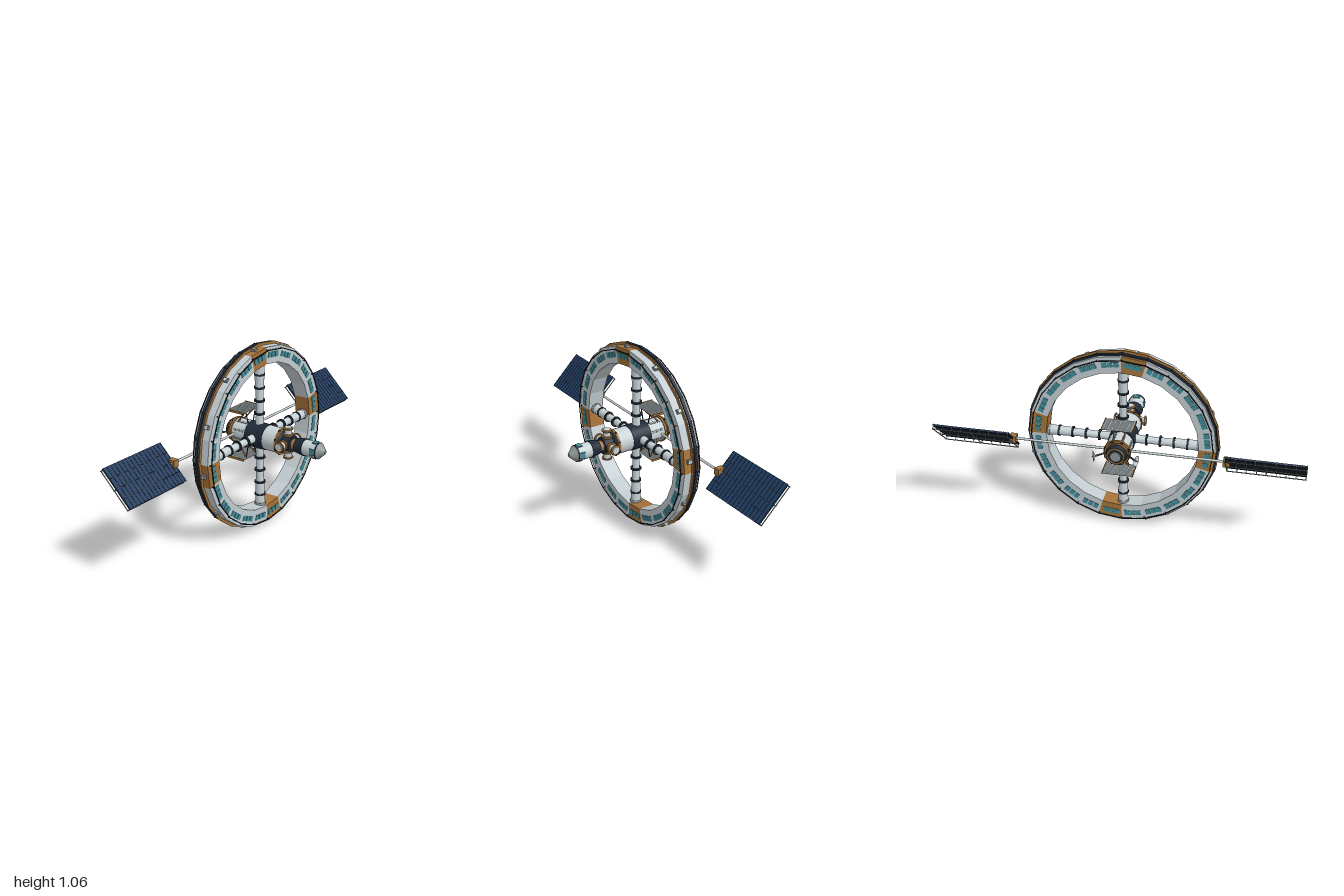
import * as THREE from 'three';

const mat = (color, flatShading = false) => new THREE.MeshStandardMaterial({ color, flatShading });
const C = {
  white: mat(0xc8d2d5), navy: mat(0x1f2a38), orange: mat(0xa6733a), teal: mat(0x3f8c99),
  dark: mat(0x171d23), panel: mat(0x1f3b60), grey: mat(0x8d9598),
  hull: mat(0xc2ccd0, true), hullOrange: mat(0xa6733a, true), hullNavy: mat(0x1f2a38, true), hullDark: mat(0x171d23, true)
};
const SEG = 24, STEP = Math.PI * 2 / SEG, RING = -0.0975;
const V = (x, y, z) => new THREE.Vector3(x, y, z);

function add(parent, name, geo, material, x = 0, y = 0, z = 0) {
  const m = new THREE.Mesh(geo, material);
  m.name = name;
  m.position.set(x, y, z);
  parent.add(m);
  return m;
}
const box = (p, name, m, w, h, d, x, y, z) => add(p, name, new THREE.BoxGeometry(w, h, d), m, x, y, z);

// Cylinder between two points, r0 at a and r1 at b
function rod(p, name, m, a, b, r0, r1 = r0, sides = 8) {
  const d = b.clone().sub(a);
  const mesh = add(p, name, new THREE.CylinderGeometry(r1, r0, d.length(), sides), m);
  mesh.position.copy(a).addScaledVector(d, 0.5);
  mesh.quaternion.setFromUnitVectors(V(0, 1, 0), d.normalize());
  return mesh;
}
function group(parent, name) {
  const g = new THREE.Group();
  g.name = name;
  parent.add(g);
  return g;
}
// Faceted band about the local y axis with a rectangular section
function band(p, name, m, y0, y1, r0, r1, start = 0, count = SEG) {
  const pts = [[r0, y0], [r1, y0], [r1, y1], [r0, y1], [r0, y0]].map(q => new THREE.Vector2(...q));
  return add(p, name, new THREE.LatheGeometry(pts, count, start * STEP, count * STEP), m);
}
// Child group turned about the local y axis, so its +z points outwards
function radial(p, name, angle) {
  const g = group(p, name);
  g.rotation.y = angle;
  return g;
}

function buildRing(axis) {
  const ring = group(axis, 'habitatRing');
  for (let k = 0; k < SEG; k++) {
    band(ring, 'ringSegment', k % 6 ? C.hull : C.hullOrange, -0.145, -0.05, 0.42, 0.515, k, 1);
    const seg = radial(ring, 'segmentDetails', (k + 0.5) * STEP);
    for (const y of [-0.146, -0.049])
      for (const x of [-0.032, 0, 0.032]) box(seg, 'window', C.teal, 0.027, 0.004, 0.03, x, y, 0.466);
    // Hatch boxes sit on every other outer facet
    if (k % 2 === 0) {
      box(seg, 'hatchBase', C.grey, 0.024, 0.027, 0.014, 0, -0.081, 0.515);
      box(seg, 'hatchLid', C.white, 0.016, 0.018, 0.004, 0, -0.081, 0.523);
    }
    // Brackets holding the guard rails
    const rib = radial(ring, 'railBracket', k * STEP);
    box(rib, 'bracketBack', C.dark, 0.004, 0.022, 0.004, 0, -0.151, 0.499);
    box(rib, 'bracketFront', C.dark, 0.004, 0.022, 0.004, 0, -0.044, 0.499);
    box(rib, 'bandClip', C.dark, 0.008, 0.022, 0.006, 0, -0.122, 0.522);
  }
  band(ring, 'darkBand', C.hullNavy, -0.132, -0.115, 0.505, 0.524);
  band(ring, 'orangeRail', C.hullOrange, -0.101, -0.095, 0.51, 0.53);
  band(ring, 'guardRailBack', C.hullDark, -0.162, -0.158, 0.497, 0.502);
  band(ring, 'guardRailFront', C.hullDark, -0.037, -0.033, 0.497, 0.502);
}

function buildSpokes(axis) {
  for (let k = 0; k < 4; k++) {
    const s = radial(axis, 'spoke', k * Math.PI / 2);
    const at = r => V(0, RING, r);
    rod(s, 'spokeRoot', C.white, at(0.05), at(0.13), 0.026, 0.021, 16);
    rod(s, 'spokeInner', C.white, at(0.13), at(0.28), 0.02, 0.022, 16);
    rod(s, 'spokeOuter', C.white, at(0.28), at(0.43), 0.025, 0.029, 16);
    for (const r of [0.13, 0.205, 0.28, 0.355])
      rod(s, 'spokeCollar', C.navy, at(r - 0.005), at(r + 0.005), 0.031, 0.031, 16);
    rod(s, 'spokeFoot', C.grey, at(0.405), at(0.425), 0.03, 0.034, 16);
  }
}

function buildHub(axis) {
  const hub = group(axis, 'hub');
  // name, material, start, end, start radius, end radius
  [
    ['dockingCollar', 'navy', -0.295, -0.25, 0.052, 0.064],
    ['rearRing', 'orange', -0.257, -0.245, 0.074, 0.074],
    ['rearModule', 'white', -0.245, -0.155, 0.068, 0.068],
    ['spokeHub', 'navy', -0.155, -0.036, 0.073, 0.073],
    ['frontModule', 'white', -0.036, 0.052, 0.07, 0.07],
    ['frontRing', 'orange', 0.05, 0.063, 0.075, 0.075],
    ['nodeCone', 'navy', 0.063, 0.075, 0.066, 0.048],
    ['node', 'navy', 0.075, 0.13, 0.046, 0.046],
    ['neck', 'orange', 0.13, 0.157, 0.03, 0.03],
    ['capsuleSleeve', 'navy', 0.155, 0.21, 0.04, 0.049],
    ['capsule', 'white', 0.2, 0.298, 0.044, 0.044],
    ['capsuleBand', 'navy', 0.292, 0.3, 0.046, 0.046],
    ['noseCone', 'grey', 0.3, 0.338, 0.045, 0.01]
  ].forEach(([n, c, a, b, r0, r1]) => rod(hub, n, C[c], V(0, a, 0), V(0, b, 0), r0, r1, 24));
  for (const [y, r] of [[-0.27, 0.064], [-0.295, 0.045]]) {
    const t = add(hub, 'dockRing', new THREE.TorusGeometry(r, 0.005, 8, 24), C.orange, 0, y, 0);
    t.rotation.x = Math.PI / 2;
  }
  rod(hub, 'dockHatch', C.grey, V(0, -0.3, 0), V(0, -0.29, 0), 0.028, 0.028, 16);

  for (let k = 0; k < 4; k++) {
    // Docking ports
    const p = radial(hub, 'dockingPort', k * Math.PI / 2);
    const at = r => V(0, 0.095, r);
    rod(p, 'portTube', C.white, at(0.03), at(0.085), 0.021, 0.021, 16);
    rod(p, 'portBase', C.orange, at(0.044), at(0.054), 0.029, 0.029, 16);
    rod(p, 'portFlange', C.orange, at(0.08), at(0.087), 0.029, 0.029, 16);
    rod(p, 'portCap', C.white, at(0.087), at(0.092), 0.02, 0.02, 16);
    // Capsule windows
    box(p, 'capsuleWindow', C.teal, 0.036, 0.026, 0.006, 0, 0.275, 0.043);
  }
  // Vents and edge latches around the modules
  for (let k = 0; k < 8; k++) {
    const v = radial(hub, 'moduleDetails', (k + 0.5) * Math.PI / 4);
    for (let i = 0; i < 3; i++) box(v, 'vent', C.grey, 0.014, 0.018, 0.004, 0, -0.225 + i * 0.025, 0.068);
    box(v, 'latch', C.dark, 0.012, 0.014, 0.008, 0, -0.262, 0.068);
    box(v, 'ringBolt', C.dark, 0.01, 0.008, 0.006, 0, 0.056, 0.075);
  }
}

function buildRadiator(craft, s) {
  const g = group(craft, 'radiator');
  const y = s * 0.138, x0 = -0.262, x1 = -0.148;
  for (const z of [-0.083, 0.083]) box(g, 'radiatorEdge', C.orange, x1 - x0, 0.012, 0.005, (x0 + x1) / 2, y, z);
  for (let i = 0; i < 11; i++)
    rod(g, 'radiatorTube', C.white, V(x0 + 0.005 + i * 0.0104, y, -0.081), V(x0 + 0.005 + i * 0.0104, y, 0.081), 0.0042);
  box(g, 'radiatorCore', C.grey, x1 - x0, 0.003, 0.164, (x0 + x1) / 2, y, 0);
  for (const z of [-1, 1]) {
    rod(g, 'radiatorStrut', C.orange, V(-0.23, s * 0.058, z * 0.022), V(-0.16, y, z * 0.045), 0.004);
    rod(g, 'radiatorPost', C.dark, V(-0.16, s * 0.058, z * 0.022), V(-0.16, y, z * 0.045), 0.003);
  }
}

function buildSolarWing(craft, s) {
  const W = 0.245, L = 0.424;
  rod(craft, 'boom', C.white, V(-0.225, 0, s * 0.05), V(-0.225, 0, s * 0.6), 0.007, 0.007, 12);
  box(craft, 'boomJoint', C.orange, 0.044, 0.04, 0.036, -0.228, 0, s * 0.58);
  const g = group(craft, 'solarWing');
  g.position.set(-0.234, 0.002, s * 0.787);
  g.rotation.z = -Math.PI / 4;
  box(g, 'solarPanel', C.panel, W, 0.007, L, 0, 0, 0);
  box(g, 'panelBack', C.dark, W - 0.004, 0.003, L - 0.004, 0, -0.005, 0);
  for (let i = 0; i <= 16; i++) box(g, 'cellSeam', C.navy, W, 0.002, 0.003, 0, 0.004, -L / 2 + 0.002 + i * (L - 0.004) / 16);
  for (const x of [-0.06, 0, 0.06]) box(g, 'cellDivider', C.navy, 0.004, 0.003, L, x, 0.004, 0);
  // Support frame behind the cells
  for (const x of [-0.119, 0, 0.119]) {
    rod(g, 'frameRail', C.grey, V(x, -0.022, -L / 2), V(x, -0.022, L / 2), 0.003, 0.003, 6);
    for (let i = 0; i <= 8; i++) {
      const z = -L / 2 + 0.004 + i * (L - 0.008) / 8;
      rod(g, 'frameStandoff', C.grey, V(x, -0.022, z), V(x, 0, z), 0.002, 0.002, 6);
    }
  }
  for (const z of [-L / 2 + 0.004, 0, L / 2 - 0.004])
    rod(g, 'frameCrossbar', C.grey, V(-0.119, -0.022, z), V(0.119, -0.022, z), 0.003, 0.003, 6);
}

function buildDish(craft, s) {
  const g = group(craft, 'antenna');
  rod(g, 'antennaArm', C.navy, V(-0.265, 0, s * 0.055), V(-0.312, 0, s * 0.108), 0.005);
  const pts = [0, 0.25, 0.5, 0.75, 1].map(t => new THREE.Vector2(0.03 * t, 0.011 * t * t));
  const material = C.white.clone();
  material.side = THREE.DoubleSide;
  const axis = V(-0.35, 0, s).normalize(), base = V(-0.312, 0, s * 0.106);
  const dish = add(g, 'dish', new THREE.LatheGeometry(pts, 20), material);
  dish.position.copy(base);
  dish.quaternion.setFromUnitVectors(V(0, 1, 0), axis);
  rod(g, 'dishFeed', C.grey, base, base.clone().addScaledVector(axis, 0.018), 0.003, 0.002);
}

export function createModel() {
  const model = new THREE.Group();
  model.name = 'spaceStation';
  const craft = group(model, 'station');
  craft.position.y = 0.53;
  // Local y of this group runs along the long axis of the hub (+x)
  const axis = group(craft, 'axialParts');
  axis.rotation.z = -Math.PI / 2;
  buildRing(axis);
  buildSpokes(axis);
  buildHub(axis);
  for (const s of [-1, 1]) {
    buildRadiator(craft, s);
    buildSolarWing(craft, s);
    buildDish(craft, s);
  }
  return model;
}
